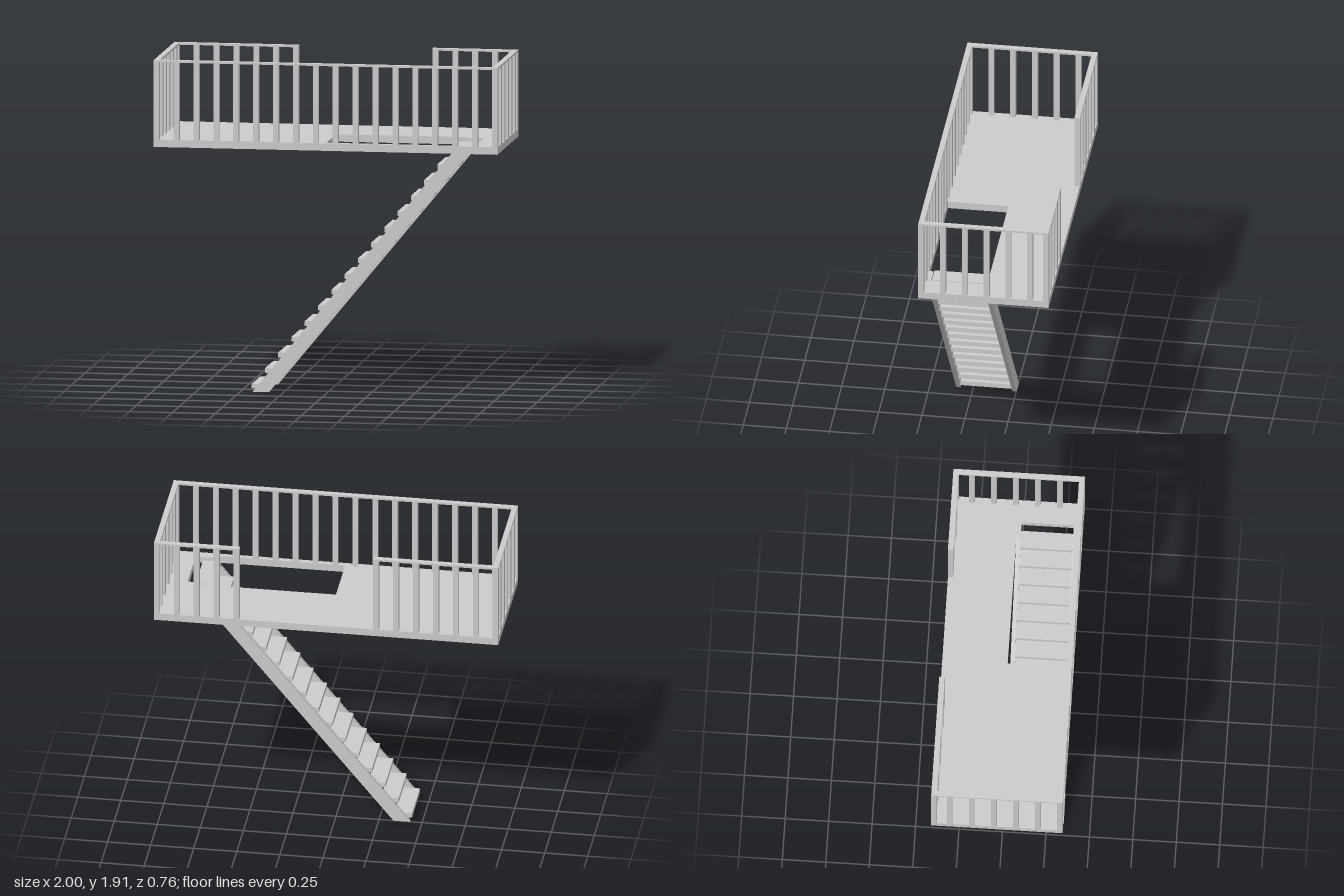
import * as THREE from 'three';

const material = new THREE.MeshStandardMaterial({ color: 0xcccccc, flatShading: true });
const DECK_BOTTOM = 1.412, DECK_TOP = 1.455, RAIL_TOP = 1.915;
const HALF_X = 1, HALF_Z = 0.378, POST = 0.032, RAIL = 0.012;
const STAIR_BACK = -0.002, STAIR_FRONT = 0.348, STRINGER = 0.025;

function add(parent, name, geometry) {
  const mesh = new THREE.Mesh(geometry, material);
  mesh.name = name;
  parent.add(mesh);
  return mesh;
}

// Box given by its minimum and maximum corners
function box(parent, name, [x0, y0, z0], [x1, y1, z1]) {
  const mesh = add(parent, name, new THREE.BoxGeometry(x1 - x0, y1 - y0, z1 - z0));
  mesh.position.set((x0 + x1) / 2, (y0 + y1) / 2, (z0 + z1) / 2);
}

const polygon = (points, Type = THREE.Shape) => new Type(points.map(([x, y]) => new THREE.Vector2(x, y)));

function post(parent, x, z) {
  const h = POST / 2;
  box(parent, 'railingPost', [x - h, DECK_TOP, z - h], [x + h, RAIL_TOP - RAIL, z + h]);
}

function topRail(parent, x0, x1, z0, z1) {
  box(parent, 'topRail', [x0, RAIL_TOP - RAIL, z0], [x1, RAIL_TOP, z1]);
}

export function createModel() {
  const model = new THREE.Group();
  model.name = 'balconyWithStairs';

  // Platform with the stairwell opening
  const floor = polygon([[-HALF_X, -HALF_Z], [HALF_X, -HALF_Z], [HALF_X, HALF_Z], [-HALF_X, HALF_Z]]);
  floor.holes.push(polygon([[0, STAIR_BACK], [0, STAIR_FRONT], [0.865, STAIR_FRONT], [0.865, STAIR_BACK]], THREE.Path));
  const deck = add(model, 'platform',
    new THREE.ExtrudeGeometry(floor, { depth: DECK_TOP - DECK_BOTTOM, bevelEnabled: false }));
  deck.rotation.x = Math.PI / 2;
  deck.position.y = DECK_TOP;

  // Railing: full front and sides, back with an open gateway
  const railing = new THREE.Group();
  railing.name = 'railing';
  model.add(railing);
  const edgeX = HALF_X - POST / 2, edgeZ = HALF_Z - POST / 2;
  const count = 18, step = 2 * edgeX / (count - 1);
  for (let i = 0; i < count; i++) {
    const x = -edgeX + i * step;
    post(railing, x, edgeZ);
    if (i <= 6 || i >= 13) post(railing, x, -edgeZ);
  }
  for (const x of [-edgeX, edgeX]) {
    for (let i = 1; i <= 5; i++) post(railing, x, edgeZ - i * 0.1263);
    topRail(railing, x - POST / 2, x + POST / 2, -HALF_Z + POST, HALF_Z - POST);
  }
  topRail(railing, -HALF_X, HALF_X, HALF_Z - POST, HALF_Z);
  topRail(railing, -HALF_X, -edgeX + 6 * step + POST / 2, -HALF_Z, -HALF_Z + POST);
  topRail(railing, -edgeX + 13 * step - POST / 2, HALF_X, -HALF_Z, -HALF_Z + POST);

  // Stairs: two sloping stringers with open treads between them
  const stairs = new THREE.Group();
  stairs.name = 'stairs';
  model.add(stairs);
  const profile = polygon([[-0.43, 0], [-0.334, 0], [0.865, DECK_TOP], [0.765, DECK_TOP]]);
  for (const z of [STAIR_BACK, STAIR_FRONT - STRINGER]) {
    const stringer = add(stairs, 'stringer',
      new THREE.ExtrudeGeometry(profile, { depth: STRINGER, bevelEnabled: false }));
    stringer.position.z = z;
  }
  for (let i = 0; i < 16; i++) {
    const x = -0.438 + i * 0.0771, y = 0.015 + i * 0.0927;
    box(stairs, 'tread', [x, y, STAIR_BACK + STRINGER], [x + 0.103, y + 0.028, STAIR_FRONT - STRINGER]);
  }
  return model;
}
